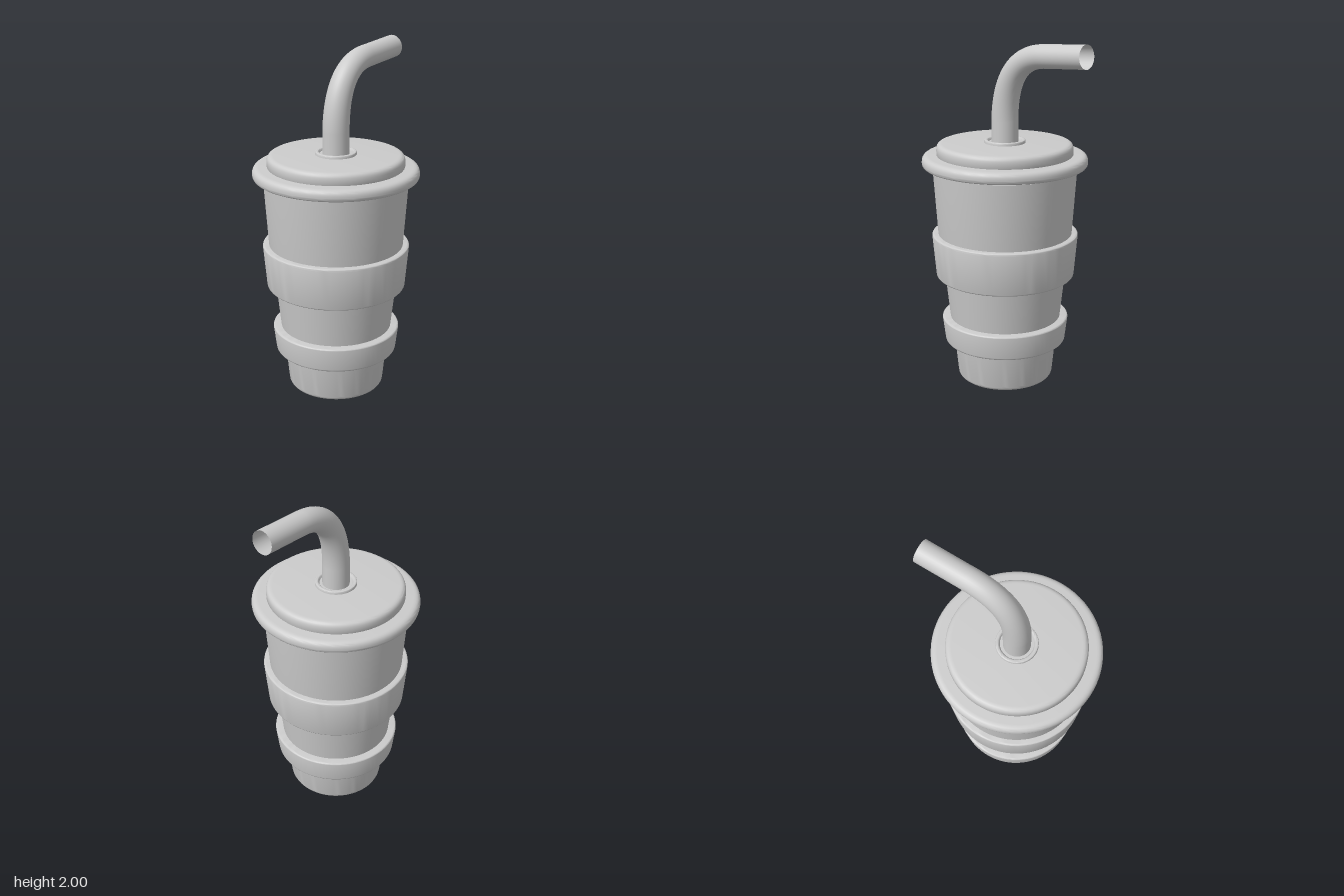
import * as THREE from 'three';
import { toCreasedNormals } from 'three/addons/utils/BufferGeometryUtils.js';

const material = new THREE.MeshStandardMaterial({ color: 0xcccccc });
const openMaterial = new THREE.MeshStandardMaterial({ color: 0xcccccc, side: THREE.DoubleSide });
const AXIS_Z = 0.03; // the cup axis sits slightly forward of centre

// Turned part: profile entries are [radius, y, fillet]; corners with a fillet are rounded
function turned(name, profile) {
  const corners = profile.map(([r, y]) => new THREE.Vector2(r, y));
  const points = [];
  corners.forEach((corner, i) => {
    const fillet = profile[i][2];
    if (!fillet) return points.push(corner);
    const toward = (other) =>
      corner.clone().add(other.clone().sub(corner).setLength(fillet));
    const curve = new THREE.QuadraticBezierCurve(
      toward(corners[i - 1]), corner, toward(corners[i + 1]));
    points.push(...curve.getPoints(6));
  });
  const geometry = toCreasedNormals(new THREE.LatheGeometry(points, 72), 0.6);
  const mesh = new THREE.Mesh(geometry, material);
  mesh.name = name;
  mesh.position.z = AXIS_Z;
  return mesh;
}

// Sleeve band around the cup, flaring slightly upward
function band(name, y0, y1, r0, r1, inner) {
  return turned(name, [
    [inner, y0], [r0, y0, 0.012], [r1, y1, 0.014], [inner, y1],
  ]);
}

// Bent straw: upright stem, smooth elbow, then a nearly level mouthpiece
function bentStraw() {
  const end = new THREE.Vector2(0.257, -0.5);
  const reach = end.length();
  end.normalize();
  const at = (s, y) => new THREE.Vector3(end.x * s, y, end.y * s);
  const path = new THREE.CurvePath();
  path.add(new THREE.LineCurve3(at(0, 1.27), at(0, 1.55)));
  path.add(new THREE.QuadraticBezierCurve3(at(0, 1.55), at(0.01, 1.89), at(0.27, 1.917)));
  path.add(new THREE.LineCurve3(at(0.27, 1.917), at(reach, 1.937)));

  const steps = 60, sides = 32;
  const geometry = new THREE.TubeGeometry(path, steps, 0.076, sides, false);
  // Narrow the tube gradually toward the mouth
  const position = geometry.attributes.position;
  const vertex = new THREE.Vector3();
  for (let i = 0; i <= steps; i++) {
    const centre = path.getPointAt(i / steps);
    const scale = 1 - 0.15 * THREE.MathUtils.smoothstep(i / steps, 0.2, 0.8);
    for (let j = 0; j <= sides; j++) {
      const k = i * (sides + 1) + j;
      vertex.fromBufferAttribute(position, k).sub(centre).multiplyScalar(scale).add(centre);
      position.setXYZ(k, vertex.x, vertex.y, vertex.z);
    }
  }
  const mesh = new THREE.Mesh(geometry, openMaterial);
  mesh.name = 'straw';
  mesh.position.z = AXIS_Z;
  return mesh;
}

export function createModel() {
  const model = new THREE.Group();
  model.name = 'drinkCup';

  // Tapered cup body
  model.add(turned('cup', [
    [0, 0], [0.277, 0, 0.03], [0.3, 0.23], [0.323, 0.38], [0.35, 0.63],
    [0.385, 0.88], [0.411, 1.268], [0, 1.268],
  ]));

  // Two raised sleeve bands
  model.add(band('lowerBand', 0.23, 0.378, 0.353, 0.371, 0.29));
  model.add(band('upperBand', 0.632, 0.886, 0.4, 0.422, 0.34));

  // Lid: rounded rim with a raised top
  model.add(turned('lidRim', [
    [0, 1.28], [0.471, 1.28, 0.025], [0.471, 1.347, 0.038], [0, 1.347],
  ]));
  model.add(turned('lidTop', [
    [0.38, 1.335], [0.388, 1.35], [0.388, 1.413, 0.035], [0, 1.413],
  ]));

  // Raised collar around the straw hole
  model.add(turned('strawCollar', [
    [0.117, 1.405], [0.117, 1.43, 0.008], [0.098, 1.43, 0.006], [0.092, 1.416], [0.07, 1.416],
  ]));

  model.add(bentStraw());
  return model;
}
